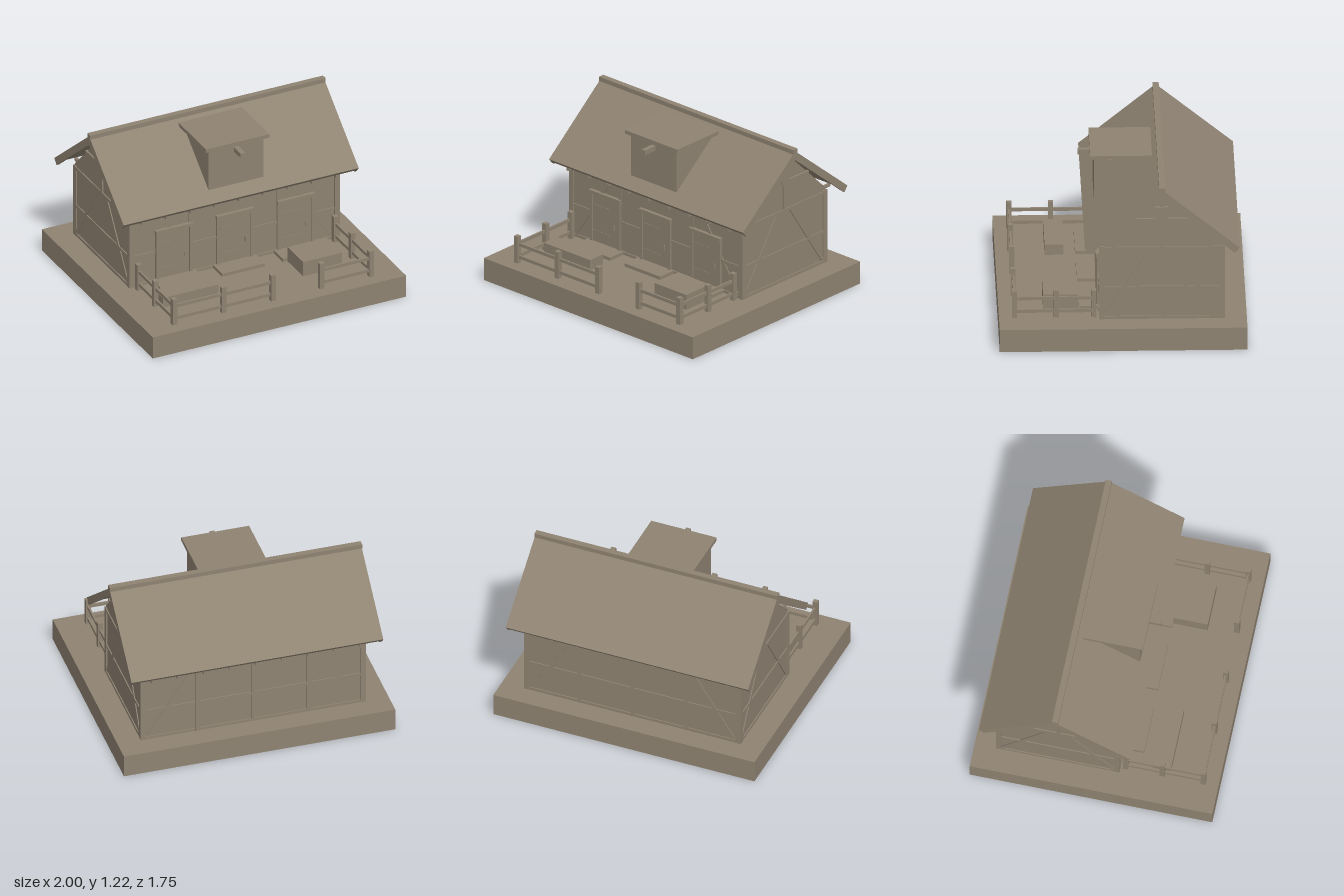
import * as THREE from 'three';

const clay = new THREE.MeshStandardMaterial({ color: 0x8f8372 });
clay.name = 'warm clay';

// Box given by its min and max on each axis
function box(parent, name, x0, x1, y0, y1, z0, z1) {
  const mesh = new THREE.Mesh(new THREE.BoxGeometry(x1 - x0, y1 - y0, z1 - z0), clay);
  mesh.position.set((x0 + x1) / 2, (y0 + y1) / 2, (z0 + z1) / 2);
  mesh.name = name;
  parent.add(mesh);
  return mesh;
}

// Prism along x from a [z, y] outline
function prism(parent, name, outline, x0, x1) {
  const shape = new THREE.Shape(outline.map(([z, y]) => new THREE.Vector2(z, y)));
  const geo = new THREE.ExtrudeGeometry(shape, { depth: x1 - x0, bevelEnabled: false });
  geo.rotateY(-Math.PI / 2).translate(x1, 0, 0);
  const mesh = new THREE.Mesh(geo, clay);
  mesh.name = name;
  parent.add(mesh);
}

function group(parent, name) {
  const g = new THREE.Group();
  g.name = name;
  parent.add(g);
  return g;
}

// Slanted timber in a wall's own plane
function brace(parent, xa, ya, xb, yb) {
  const len = Math.hypot(xb - xa, yb - ya);
  const m = box(parent, 'brace', -len / 2, len / 2, -0.014, 0.014, -0.01, 0.007);
  m.position.set((xa + xb) / 2, (ya + yb) / 2, -0.001);
  m.rotation.z = Math.atan2(yb - ya, xb - xa);
}

// Timber frame on one wall; local z = 0 is the plaster face
function timberWall(parent, name, half, posts, braceTop, braceFoot) {
  const g = group(parent, name);
  for (const s of [-1, 1]) {
    box(g, 'cornerPost', s * (half - 0.02) - 0.02, s * (half - 0.02) + 0.02, 0.17, 0.73, -0.01, 0.01);
    brace(g, s * braceTop, 0.705, s * braceFoot, 0.2);
  }
  for (const x of posts) box(g, 'post', x - 0.014, x + 0.014, 0.17, 0.72, -0.01, 0.009);
  for (const [y0, y1] of [[0.17, 0.192], [0.4, 0.422], [0.7, 0.725]]) {
    box(g, 'rail', -half + 0.02, half - 0.02, y0, y1, -0.01, 0.008);
  }
  return g;
}

function buildDoor(parent, x) {
  const g = group(parent, 'door');
  g.position.x = x;
  box(g, 'doorPanel', -0.12, 0.12, 0.17, 0.56, 0.15, 0.17);
  for (const s of [-1, 1]) box(g, 'doorJamb', s * 0.132 - 0.012, s * 0.132 + 0.012, 0.17, 0.56, 0.15, 0.18);
  box(g, 'doorLintel', -0.148, 0.148, 0.56, 0.587, 0.15, 0.187);
  for (const y of [0.27, 0.47]) box(g, 'hingeStrap', -0.115, 0.04, y, y + 0.012, 0.168, 0.173);
  box(g, 'doorHandle', 0.078, 0.09, 0.33, 0.37, 0.168, 0.18);
  box(g, 'doorStep', -0.17, 0.17, 0.17, 0.195, 0.16, 0.31);
}

export function createModel() {
  const model = new THREE.Group();
  model.name = 'timberHouse';
  const zc = -0.275; // ridge line

  box(model, 'base', -1, 1, 0, 0.17, -0.875, 0.875);

  // Plastered body with gables
  prism(model, 'walls', [[0.16, 0.17], [0.16, 0.745], [zc, 1.17], [-0.71, 0.745], [-0.71, 0.17]], -0.82, 0.82);

  // Timber frames
  timberWall(model, 'frontFrame', 0.83, [-0.345, 0.345], 0.44, 0.77).position.z = 0.16;
  const back = timberWall(model, 'backFrame', 0.83, [-0.41, 0, 0.41], 0.44, 0.77);
  back.position.z = -0.71;
  back.rotation.y = Math.PI;
  for (const s of [-1, 1]) {
    const side = timberWall(model, 'sideFrame', 0.445, [], 0.07, 0.4);
    side.position.set(s * 0.82, 0, zc);
    side.rotation.y = s * Math.PI / 2;
    box(side, 'kingPost', -0.014, 0.014, 0.73, 1.165, -0.01, 0.012);
    box(side, 'collarBeam', -0.245, 0.245, 0.92, 0.945, -0.01, 0.015);
    box(side, 'gablePlate', -0.045, 0.045, 0.93, 1.035, -0.01, 0.02);
  }

  // Roof slopes, bargeboards, ridge and joist tails
  for (const s of [-1, 1]) {
    const slope = (t) => {
      const pts = [[0, 1.205], [0.547, 0.756], [0.547 - 0.634 * t, 0.756 - 0.773 * t], [0, 1.205 - 1.294 * t]];
      return pts.map(([z, y]) => [zc + s * z, y]);
    };
    prism(model, 'roofSlope', slope(0.033), -0.925, 0.925);
    for (const e of [-1, 1]) prism(model, 'bargeboard', slope(0.053), e * 0.918 - 0.01, e * 0.918 + 0.01);
  }
  box(model, 'ridgeBeam', -0.93, 0.93, 1.185, 1.22, zc - 0.022, zc + 0.022);
  for (let i = -4; i <= 4; i++) {
    box(model, 'joist', i * 0.192 - 0.01, i * 0.192 + 0.01, 0.71, 0.73, -0.805, 0.255);
  }

  // Dormer with hoist beam
  const dormer = group(model, 'dormer');
  box(dormer, 'dormerBody', -0.217, 0.217, 0.795, 1.13, -0.2, 0.19);
  box(dormer, 'dormerRoof', -0.25, 0.25, 1.145, 1.173, -0.22, 0.217);
  box(dormer, 'hoistBeam', -0.018, 0.018, 1.087, 1.123, 0.15, 0.3);

  for (const x of [-0.48, 0, 0.48]) buildDoor(model, x);

  // Yard boxes
  box(model, 'trough', -0.745, -0.305, 0.17, 0.25, 0.39, 0.525);
  box(model, 'crate', 0.345, 0.65, 0.17, 0.285, 0.315, 0.56);

  // Fence
  const fence = group(model, 'fence');
  const posts = [-0.778, -0.389, 0, 0.385, 0.775].map((x) => [x, 0.765]);
  for (const x of [-0.778, 0.775]) posts.push([x, 0.47], [x, 0.205]);
  for (const [x, z] of posts) box(fence, 'fencePost', x - 0.018, x + 0.018, 0.17, 0.375, z - 0.018, z + 0.018);
  for (const y of [0.205, 0.302]) {
    box(fence, 'fenceRail', -0.778, 0, y, y + 0.024, 0.758, 0.772);
    box(fence, 'fenceRail', 0.385, 0.775, y, y + 0.024, 0.758, 0.772);
    for (const x of [-0.778, 0.775]) box(fence, 'fenceRail', x - 0.007, x + 0.007, y, y + 0.024, 0.205, 0.765);
  }
  return model;
}
